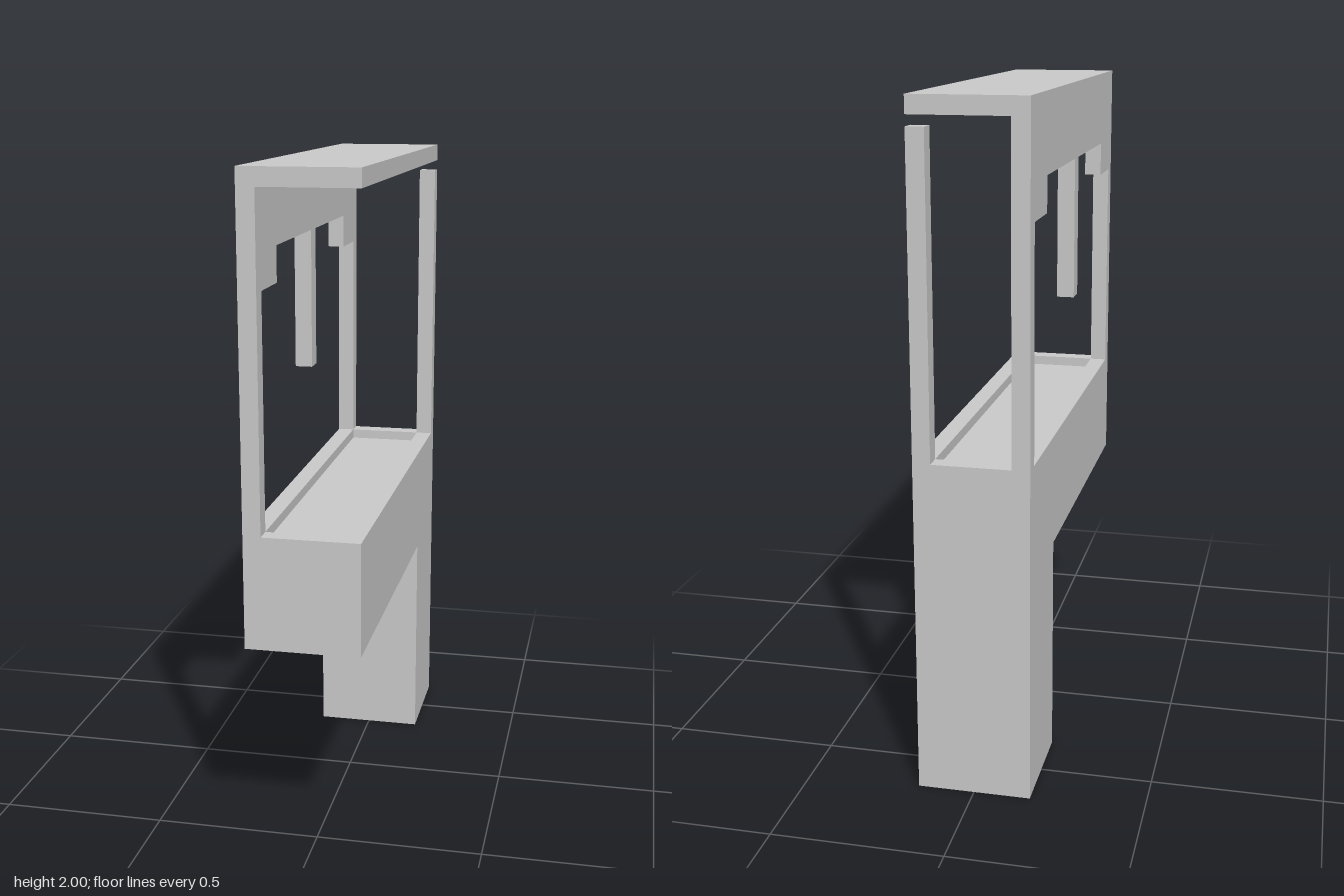
import * as THREE from 'three';

const W = 0.167;     // half width (x)
const L = 0.667;     // half length (z)
const T = 0.052;     // thickness of posts, wall, rim and roof
const COUNTER = 1.0; // counter height
const RECESS = 0.03; // depth of the tray in the counter top

const material = new THREE.MeshStandardMaterial({ color: 0xcccccc, flatShading: true });

function addMesh(group, name, geometry) {
  const mesh = new THREE.Mesh(geometry, material);
  mesh.name = name;
  group.add(mesh);
}

const shapeOf = (points) => new THREE.Shape(points.map(([a, b]) => new THREE.Vector2(a, b)));

// Extrudes a side profile given as [z, y] points from x0 to x1
function sideProfile(points, x0, x1) {
  const g = new THREE.ExtrudeGeometry(shapeOf(points), { depth: x1 - x0, bevelEnabled: false });
  return g.rotateY(-Math.PI / 2).translate(x1, 0, 0);
}

// Box given by its lower and upper corners
function boxBetween([x0, y0, z0], [x1, y1, z1]) {
  return new THREE.BoxGeometry(x1 - x0, y1 - y0, z1 - z0)
    .translate((x0 + x1) / 2, (y0 + y1) / 2, (z0 + z1) / 2);
}

const rectangle = (w, l) => [[-w, -l], [w, -l], [w, l], [-w, l]];

export function createModel() {
  const group = new THREE.Group();
  group.name = 'stall';

  // Leg and overhanging counter as one L-shaped block
  const bodyTop = COUNTER - RECESS;
  addMesh(group, 'counterBody', sideProfile([
    [-L, 0], [-0.333, 0], [-0.333, 0.667], [L, 0.667], [L, bodyTop], [-L, bodyTop],
  ], -W, W));

  // Raised rim around the sunken counter top
  const rim = shapeOf(rectangle(W, L));
  rim.holes.push(shapeOf(rectangle(W - T, L - T)));
  addMesh(group, 'counterRim',
    new THREE.ExtrudeGeometry(rim, { depth: RECESS, bevelEnabled: false })
      .rotateX(-Math.PI / 2).translate(0, bodyTop, 0));

  // Right-hand wall: end posts, stepped valance and hanging centre bar
  const half = [
    [0.03, 1.354], [0.03, 1.775], [0.45, 1.775], [0.45, 1.672],
    [L - T, 1.672], [L - T, COUNTER], [L, COUNTER], [L, 2 - T],
  ];
  const mirrored = half.map(([z, y]) => [-z, y]).reverse();
  addMesh(group, 'sideWall', sideProfile([...half, ...mirrored], -W, -W + T));

  // Free-standing back post, stopping short of the roof
  addMesh(group, 'backPost', boxBetween([W - T, COUNTER, -L], [W, 1.917, -L + T]));

  // Flat roof
  addMesh(group, 'roof', boxBetween([-W, 2 - T, -L], [W, 2, L]));

  return group;
}
